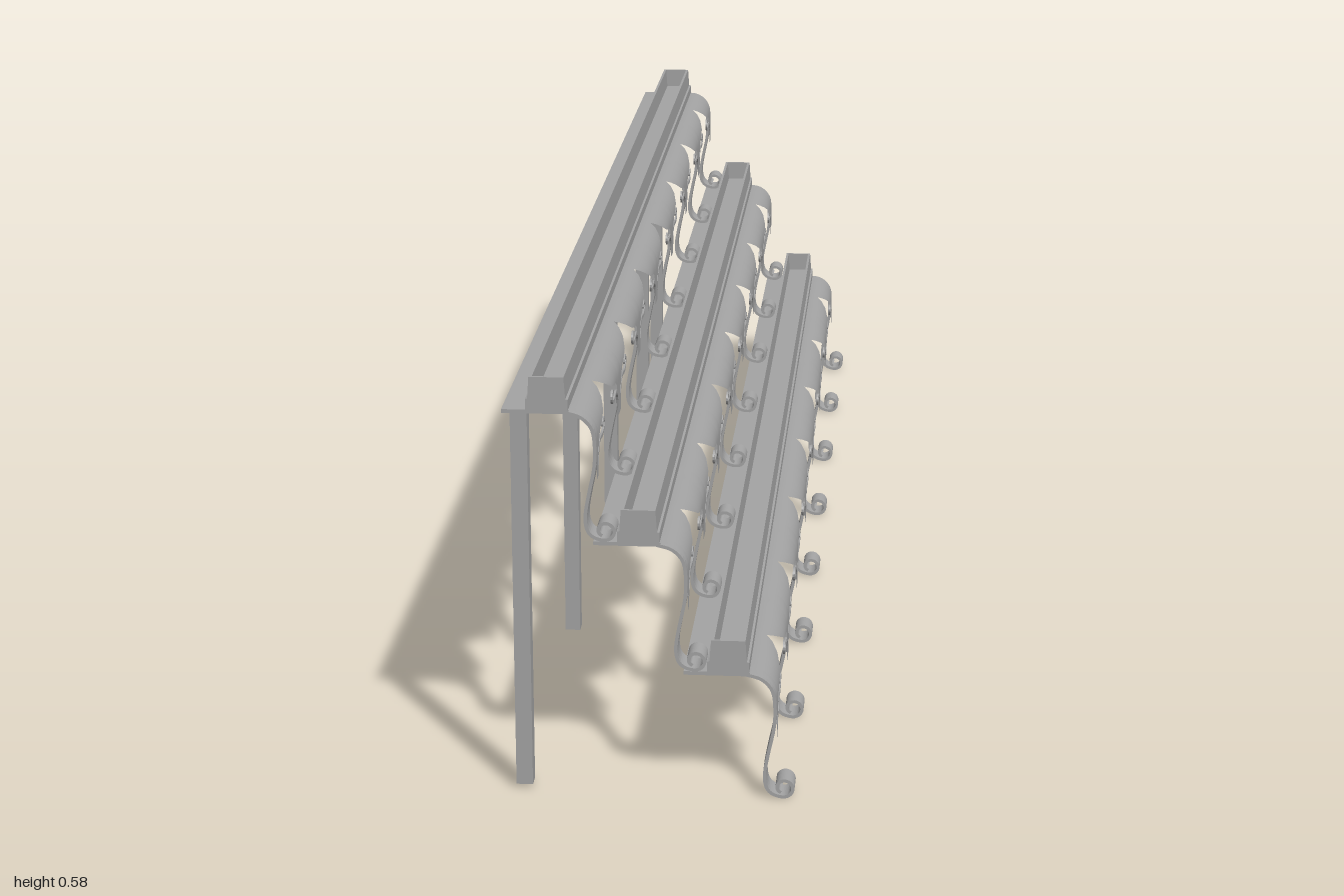
import * as THREE from 'three';

const metal = new THREE.MeshStandardMaterial({ color: 0xa3a3a3 });
metal.name = 'grey metal';
metal.side = THREE.DoubleSide;

const HALF_BAY = 1 / 7;
const STEP = [0.117, -0.177];

function add(parent, name, geometry, x = 0, y = 0, z = 0) {
  const mesh = new THREE.Mesh(geometry, metal);
  mesh.name = name;
  mesh.position.set(x, y, z);
  parent.add(mesh);
  return mesh;
}

function extrude(shape, depth) {
  const g = new THREE.ExtrudeGeometry(shape, { depth, bevelEnabled: false, curveSegments: 6 });
  g.translate(0, 0, -depth / 2);
  return g;
}

// Closed outline of a bent strip following a smooth path
function ribbonShape(points, thickness, samples) {
  const curve = new THREE.SplineCurve(points.map(([x, y]) => new THREE.Vector2(x, y)));
  const left = [], right = [];
  for (let i = 0; i <= samples; i++) {
    const p = curve.getPoint(i / samples);
    const t = curve.getTangent(i / samples);
    const n = new THREE.Vector2(-t.y, t.x).multiplyScalar(thickness / 2);
    left.push(p.clone().add(n));
    right.push(p.clone().sub(n));
  }
  return new THREE.Shape([...left, ...right.reverse()]);
}

// S-shaped leg ending in a rolled foot
function legGeometry() {
  const pts = [
    [-0.108, 0.529], [-0.088, 0.523], [-0.074, 0.508], [-0.07, 0.485], [-0.071, 0.455],
    [-0.078, 0.42], [-0.083, 0.39], [-0.081, 0.371], [-0.073, 0.361], [-0.06, 0.357],
  ];
  for (let i = 1; i <= 12; i++) {
    const a = -Math.PI / 2 + i * Math.PI / 6.5;
    const r = 0.0125 - 0.0055 * Math.max(0, i - 3) / 9;
    pts.push([-0.058 + r * Math.cos(a), 0.3695 + r * Math.sin(a)]);
  }
  return extrude(ribbonShape(pts, 0.0045, 80), 0.035);
}

// Scalloped sheet that rolls over the shelf edge: [distance from leg, lower edge height]
function apronGeometry() {
  const edge = [
    [0, 0.44], [0.0175, 0.44], [0.019, 0.46], [0.024, 0.478], [0.032, 0.489],
    [0.045, 0.496], [0.065, 0.499], [0.09, 0.505], [0.115, 0.516], [0.132, 0.524], [HALF_BAY, 0.529],
  ];
  const columns = [];
  for (let h = -7; h < 7; h++) {
    const legFirst = h % 2 !== 0;
    const list = legFirst ? edge : [...edge].reverse();
    list.forEach(([d, y], i) => {
      if (i === 0 && h > -7) return;
      columns.push([legFirst ? h * HALF_BAY + d : (h + 1) * HALF_BAY - d, y]);
    });
  }
  const rows = 14, r = 0.036, cx = -0.103, cy = 0.496;
  const position = [], index = [];
  columns.forEach(([z, y], c) => {
    const length = y > cy ? r * Math.acos((y - cy) / r) : r * Math.PI / 2 + cy - y;
    for (let j = 0; j <= rows; j++) {
      const s = length * j / rows;
      const a = Math.min(s / r, Math.PI / 2);
      const drop = Math.max(0, s - r * Math.PI / 2);
      position.push(cx + r * Math.sin(a), cy + r * Math.cos(a) - drop, z);
      if (c > 0 && j > 0) {
        const p = c * (rows + 1) + j, q = p - rows - 1;
        index.push(q - 1, q, p, q - 1, p, p - 1);
      }
    }
  });
  const g = new THREE.BufferGeometry();
  g.setAttribute('position', new THREE.Float32BufferAttribute(position, 3));
  g.setIndex(index);
  g.computeVertexNormals();
  return g;
}

// Small hooked scroll beside each leg
function curlGeometry(side) {
  const pts = [
    [0.014, 0.455], [0.02, 0.471], [0.034, 0.481], [0.052, 0.481], [0.07, 0.479],
    [0.086, 0.482], [0.092, 0.49], [0.085, 0.496], [0.076, 0.493], [0.077, 0.488],
  ];
  const g = extrude(ribbonShape(pts.map(([d, y]) => [d * side, y]), 0.005, 28), 0.003);
  g.rotateY(-Math.PI / 2);
  return g;
}

// Stepped open trough
function troughGeometry() {
  const s = new THREE.Shape([
    [-0.159, 0.532], [-0.104, 0.532], [-0.104, 0.546], [-0.107, 0.547], [-0.109, 0.576],
    [-0.113, 0.576], [-0.115, 0.545], [-0.148, 0.545], [-0.15, 0.576],
    [-0.154, 0.576], [-0.156, 0.547], [-0.159, 0.546],
  ].map(([x, y]) => new THREE.Vector2(x, y)));
  return extrude(s, 2);
}

function troughEndGeometry() {
  const s = new THREE.Shape([
    [-0.148, 0.545], [-0.115, 0.545], [-0.113, 0.576], [-0.15, 0.576],
  ].map(([x, y]) => new THREE.Vector2(x, y)));
  return extrude(s, 0.004);
}

export function createModel() {
  const model = new THREE.Group();
  model.name = 'tieredStand';

  const shelf = new THREE.BoxGeometry(0.087, 0.005, 2);
  const trough = troughGeometry(), troughEnd = troughEndGeometry();
  const apron = apronGeometry(), leg = legGeometry();
  const curls = [-1, 1].map((side) => [side, curlGeometry(side)]);

  // Three matching tiers stepping down toward +x
  for (let i = 0; i < 3; i++) {
    const tier = new THREE.Group();
    tier.name = `tier${i + 1}`;
    tier.position.set(i * STEP[0], i * STEP[1], 0);
    add(tier, 'shelf', shelf, -0.1465, 0.5295, 0);
    add(tier, 'trough', trough);
    for (const side of [-1, 1]) add(tier, 'troughEnd', troughEnd, 0, 0, side * 0.998);
    add(tier, 'apron', apron);
    for (let k = -7; k <= 7; k += 2) {
      const z = k * HALF_BAY;
      add(tier, 'leg', leg, 0, 0, THREE.MathUtils.clamp(z, -0.9825, 0.9825));
      for (const [side, curl] of curls) {
        if (Math.abs(k) < 7 || side * k < 0) add(tier, 'curl', curl, -0.068, 0, z);
      }
    }
    model.add(tier);
  }

  // Rear posts
  const post = new THREE.BoxGeometry(0.022, 0.52, 0.022);
  for (const z of [0.982, 0.424, -0.135, -0.694, -0.982]) add(model, 'rearPost', post, -0.169, 0.267, z);

  return model;
}
